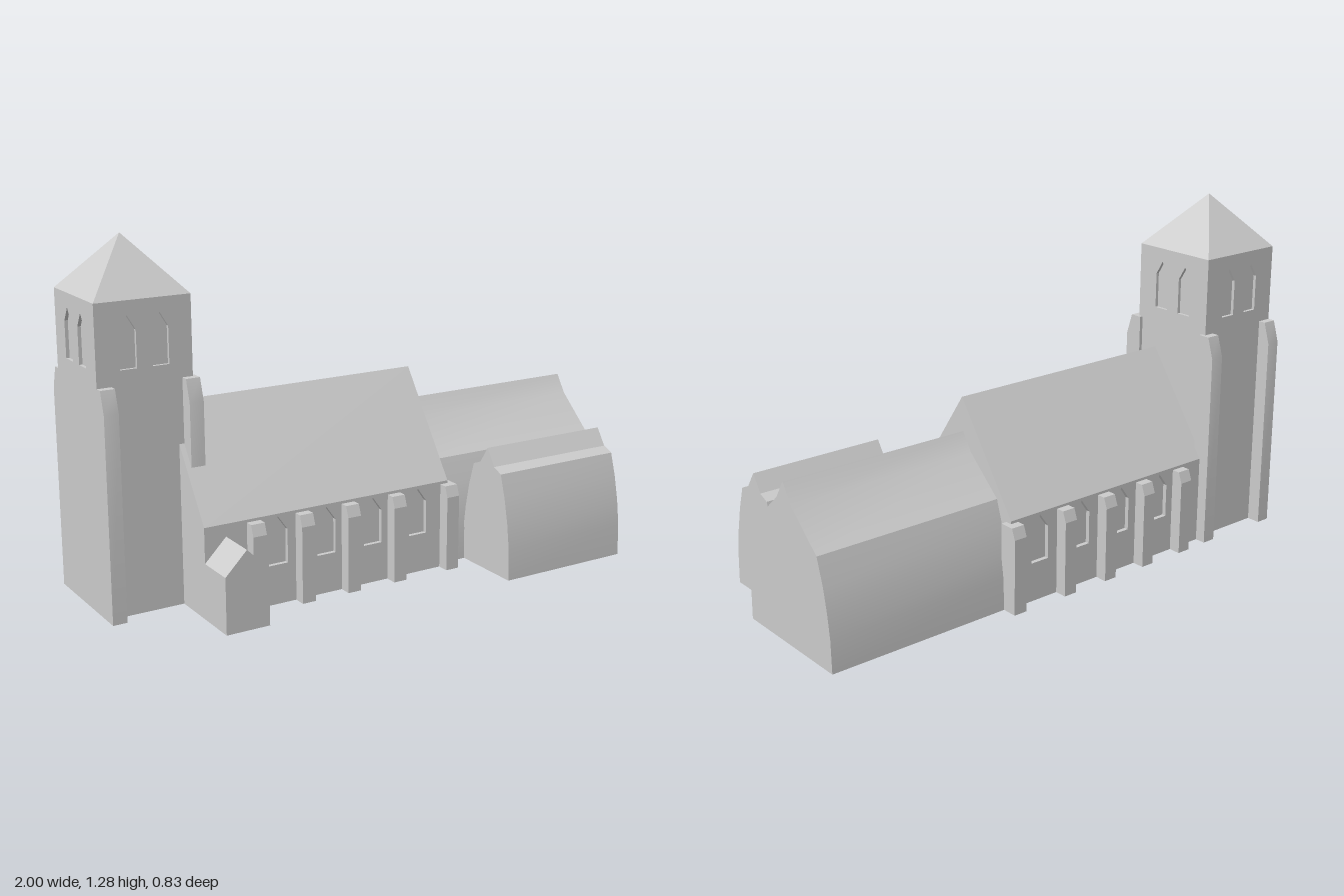
import * as THREE from 'three';
import { toCreasedNormals } from 'three/addons/utils/BufferGeometryUtils.js';

const stone = new THREE.MeshStandardMaterial({ color: 0xcccccc });
stone.name = 'pale stone';

function add(parent, name, geometry) {
  const mesh = new THREE.Mesh(geometry, stone);
  mesh.name = name;
  parent.add(mesh);
  return mesh;
}

const polygon = (points) => new THREE.Shape(points.map(([x, y]) => new THREE.Vector2(x, y)));

// Sweep a [z, y] outline along x from x0 to x1; gentle bends stay smooth
function sweepX(points, x0, x1) {
  const g = new THREE.ExtrudeGeometry(polygon(points.map(([z, y]) => [-z, y])), {
    depth: x1 - x0, bevelEnabled: false,
  });
  g.rotateY(Math.PI / 2).translate(x0, 0, 0);
  return toCreasedNormals(g, 0.35);
}

// Wall facing +z with its outer face at z = 0, pierced by pointed windows
function piercedWall(width, height, centres, win, depth) {
  const w = width / 2;
  const shape = polygon([[-w, 0], [w, 0], [w, height], [-w, height]]);
  for (const c of centres) {
    const h = win.width / 2;
    shape.holes.push(polygon([
      [c - h, win.sill], [c - h, win.shoulder], [c, win.top], [c + h, win.shoulder], [c + h, win.sill],
    ]));
  }
  return new THREE.ExtrudeGeometry(shape, { depth, bevelEnabled: false }).translate(0, 0, -depth);
}

// Buttress with a sloping outer top; side is +1 for front, -1 for back
function buttress(parent, name, x, midZ, side, profile) {
  const points = profile.map(([z, y]) => [midZ + side * z, y]);
  add(parent, name, sweepX(points, x - 0.026, x + 0.026));
}

function buildTower() {
  const tower = new THREE.Group();
  tower.name = 'tower';
  const size = 0.345, height = 1.09, inset = 0.012, cx = -0.8275, cz = -0.182;
  const inner = size - 2 * inset;
  add(tower, 'towerCore', new THREE.BoxGeometry(inner, height, inner)).position.set(cx, height / 2, cz);

  // Four walls with paired belfry windows
  const win = { width: 0.06, sill: 0.86, shoulder: 0.99, top: 1.04 };
  for (let i = 0; i < 4; i++) {
    const wall = add(tower, 'towerWall', piercedWall(i % 2 ? inner : size, height, [-0.058, 0.058], win, inset));
    const a = i * Math.PI / 2;
    wall.rotation.y = a;
    wall.position.set(cx + Math.sin(a) * size / 2, 0, cz + Math.cos(a) * size / 2);
  }

  // Pyramid roof
  const roof = new THREE.ConeGeometry(size / Math.SQRT2, 0.195, 4, 1).rotateY(Math.PI / 4);
  add(tower, 'towerRoof', toCreasedNormals(roof, 0.3)).position.set(cx, height + 0.0975, cz);

  // Tall corner buttresses
  const profile = [[0.155, 0], [0.224, 0], [0.224, 0.73], [0.2, 0.808], [0.155, 0.808]];
  for (const x of [-0.974, -0.668])
    for (const side of [1, -1]) buttress(tower, 'towerButtress', x, cz, side, profile);
  return tower;
}

function buildNave() {
  const nave = new THREE.Group();
  nave.name = 'nave';
  const x0 = -0.713, x1 = 0.275, midZ = -0.1, half = 0.265, eaves = 0.33, inset = 0.016;
  const h = half - inset;
  add(nave, 'naveBody', sweepX([
    [midZ + h, 0], [midZ + h, eaves], [midZ + half, eaves], [midZ, 0.706],
    [midZ - half, eaves], [midZ - h, eaves], [midZ - h, 0],
  ], x0, x1));

  // Side walls with recessed windows between the buttresses
  const cx = (x0 + x1) / 2;
  const win = { width: 0.074, sill: 0.145, shoulder: 0.268, top: 0.32 };
  const profile = [[0.24, 0], [0.311, 0], [0.311, 0.28], [0.296, 0.32], [0.24, 0.32]];
  for (const side of [1, -1]) {
    const centres = [-0.433, -0.24, -0.048, 0.145].map((x) => side * (x - cx));
    const wall = add(nave, 'naveWall', piercedWall(x1 - x0, eaves, centres, win, inset));
    wall.position.set(cx, 0, midZ + side * half);
    if (side < 0) wall.rotation.y = Math.PI;
    for (const x of [-0.527, -0.338, -0.152, 0.041, 0.27])
      buttress(nave, 'naveButtress', x, midZ, side, profile);
  }
  return nave;
}

export function createModel() {
  const church = new THREE.Group();
  church.name = 'church';
  church.add(buildTower(), buildNave());

  // Chancel with bowed walls and a stepped gable
  add(church, 'chancel', sweepX([
    [0.14, 0], [0.138, 0.12], [0.127, 0.21], [0.11, 0.292], [0.08, 0.388], [-0.062, 0.515], [-0.105, 0.582],
    [-0.148, 0.515], [-0.29, 0.388], [-0.32, 0.292], [-0.337, 0.21], [-0.35, 0.12], [-0.354, 0],
  ], 0.27, 1));

  // Side chapel
  const midZ = 0.272;
  const right = [[0.142, 0], [0.139, 0.12], [0.127, 0.21], [0.108, 0.3], [0.082, 0.386], [0.041, 0.403]];
  add(church, 'sideChapel', sweepX([
    ...right.map(([z, y]) => [midZ + z, y]), [midZ, 0.465],
    ...right.map(([z, y]) => [midZ - z, y]).reverse(),
  ], 0.375, 0.893));

  // Gabled porch
  const porch = polygon([[-0.713, 0], [-0.55, 0], [-0.55, 0.203], [-0.632, 0.285], [-0.713, 0.203]]);
  add(church, 'porch', new THREE.ExtrudeGeometry(porch, { depth: 0.175, bevelEnabled: false }).translate(0, 0, 0.14));
  return church;
}
